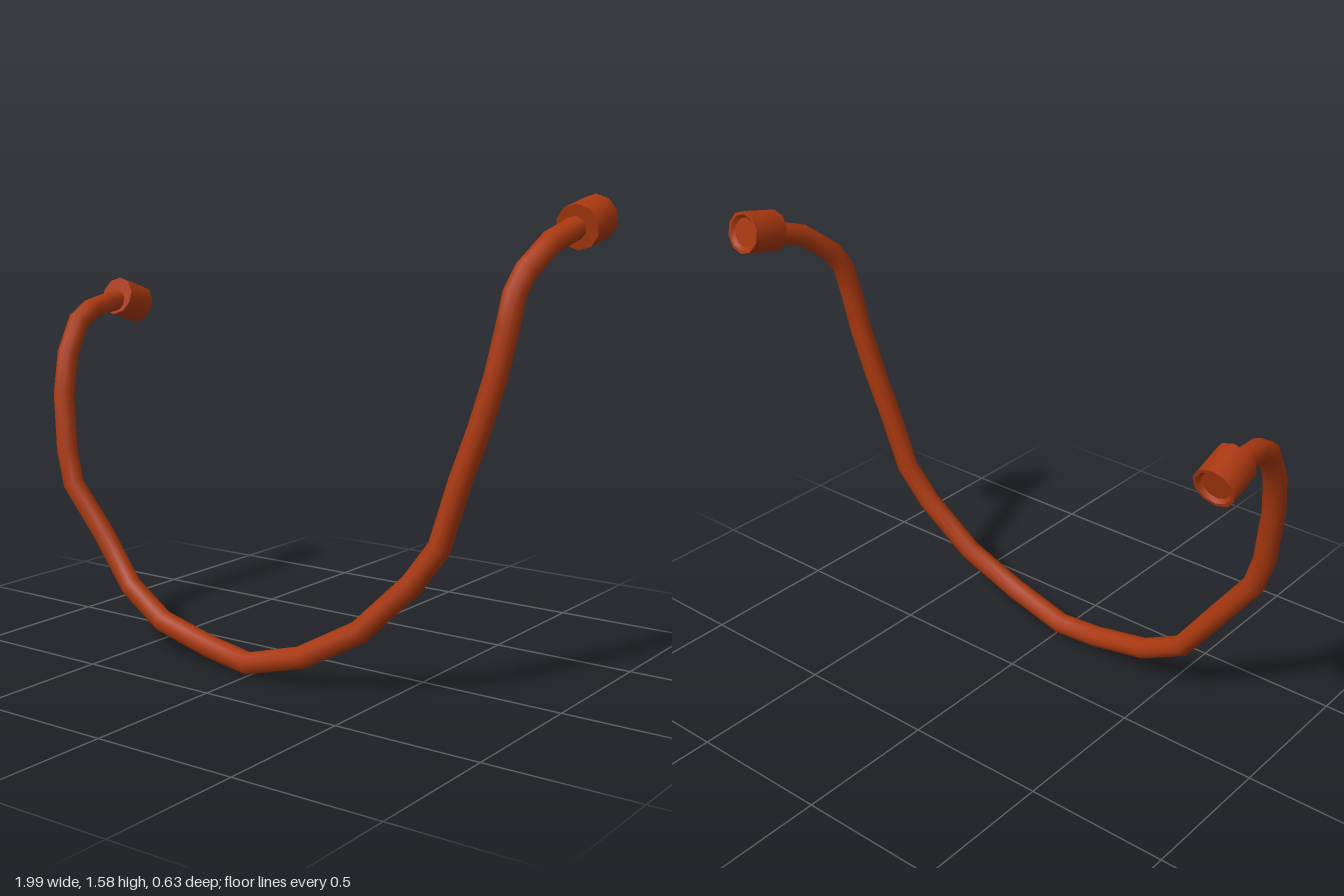
import * as THREE from 'three';
import { toCreasedNormals } from 'three/addons/utils/BufferGeometryUtils.js';

// Curve that places one tube ring exactly on each control point
class BentPath extends THREE.Curve {
  constructor(points) {
    super();
    this.points = points;
  }
  getPoint(t, target = new THREE.Vector3()) {
    const last = this.points.length - 1;
    const f = t * last;
    const i = Math.min(Math.floor(f + 1e-6), last - 1);
    return target.lerpVectors(this.points[i], this.points[i + 1], f - i);
  }
  getPointAt(t, target) {
    return this.getPoint(t, target);
  }
  getTangentAt(t, target = new THREE.Vector3()) {
    const last = this.points.length - 1;
    const i = Math.round(t * last);
    const p = this.points;
    const dir = (a, b) => p[b].clone().sub(p[a]).normalize();
    target.set(0, 0, 0);
    if (i > 0) target.add(dir(i - 1, i));
    if (i < last) target.add(dir(i, i + 1));
    return target.normalize();
  }
}

export function createModel() {
  const group = new THREE.Group();
  const material = new THREE.MeshStandardMaterial({ color: 0xa8380f });

  // Hanging cable, from the right end round to the left end
  const path = [
    [-0.93, 1.17, -0.14], [-0.92, 1.165, -0.06], [-0.905, 1.15, 0.045], [-0.90, 1.11, 0.12],
    [-0.893, 1.0, 0.185], [-0.88, 0.86, 0.222], [-0.853, 0.66, 0.24], [-0.815, 0.545, 0.25],
    [-0.69, 0.375, 0.232], [-0.565, 0.205, 0.232], [-0.4, 0.11, 0.252], [-0.18, 0.06, 0.263],
    [-0.01, 0.038, 0.275], [0.21, 0.1, 0.275], [0.41, 0.212, 0.243], [0.58, 0.385, 0.205],
    [0.665, 0.51, 0.185], [0.72, 0.72, 0.16], [0.772, 0.88, 0.142], [0.815, 1.04, 0.125],
    [0.843, 1.19, 0.11], [0.852, 1.29, 0.087], [0.865, 1.355, 0.045], [0.893, 1.437, -0.06],
    [0.92, 1.485, -0.2],
  ].map((p) => new THREE.Vector3(...p));
  const cable = new THREE.Mesh(
    new THREE.TubeGeometry(new BentPath(path), path.length - 1, 0.038, 10), material);
  cable.name = 'cable';
  group.add(cable);

  // Plug with a shallow recess in its outer end
  function addPlug(name, from, to, radius) {
    const start = new THREE.Vector3(...from);
    const axis = new THREE.Vector3(...to).sub(start);
    const h = axis.length();
    const profile = [[0, 0], [radius, 0], [radius, h], [radius * 0.85, h], [radius * 0.7, h - 0.012], [0, h - 0.012]]
      .map(([r, y]) => new THREE.Vector2(r, y));
    const plug = new THREE.Mesh(
      toCreasedNormals(new THREE.LatheGeometry(profile, 10), 0.7), material);
    plug.position.copy(start);
    plug.quaternion.setFromUnitVectors(new THREE.Vector3(0, 1, 0), axis.normalize());
    plug.name = name;
    group.add(plug);
  }
  addPlug('rightPlug', [-0.928, 1.185, -0.115], [-0.93, 1.147, -0.232], 0.07);
  addPlug('leftPlug', [0.922, 1.478, -0.17], [0.924, 1.506, -0.302], 0.073);

  return group;
}
